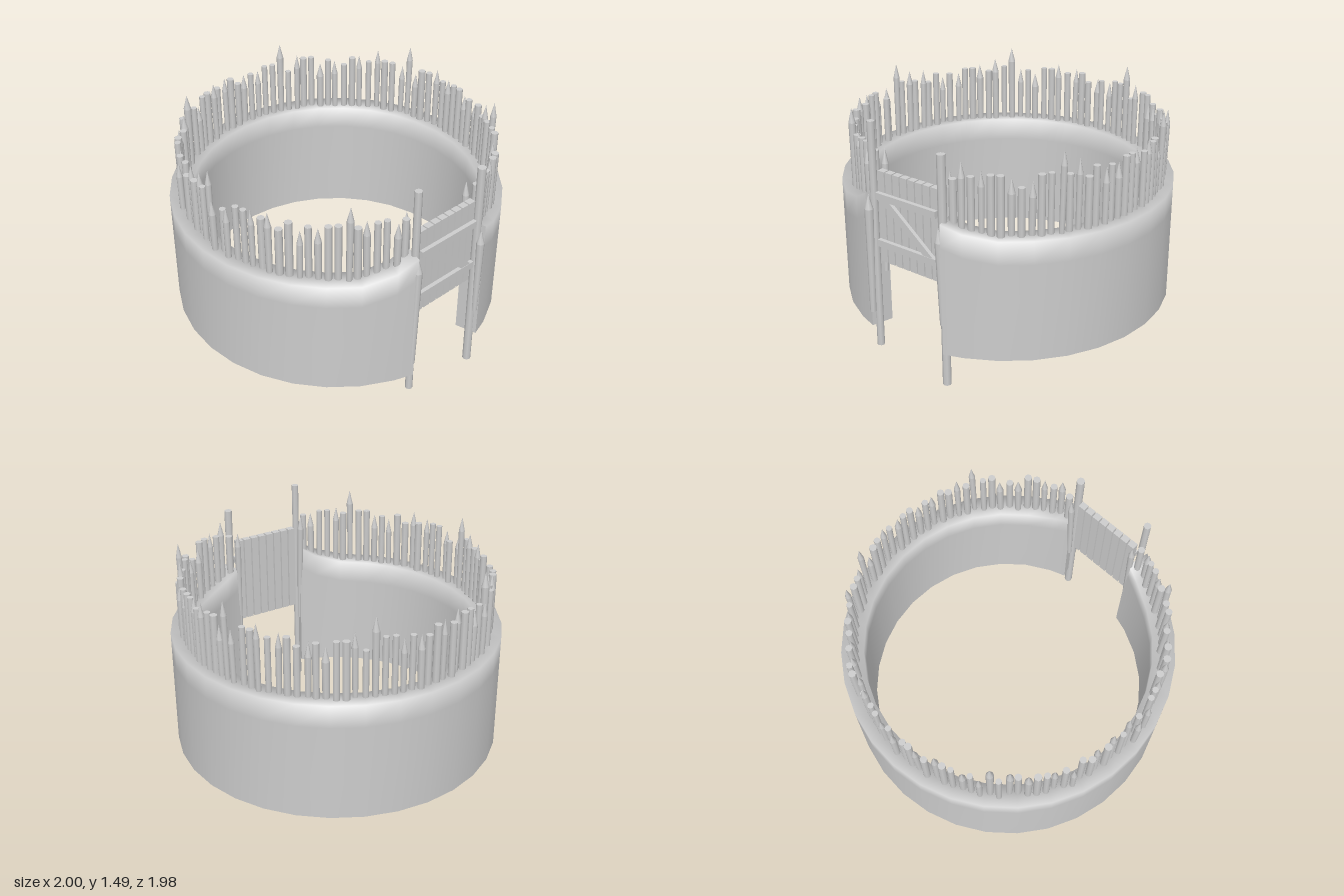
import * as THREE from 'three';

const grey = new THREE.MeshStandardMaterial({ color: 0xcccccc });
const greyBoth = new THREE.MeshStandardMaterial({ color: 0xcccccc, side: THREE.DoubleSide });
const CENTRE_Z = 0.01, GATE_ANGLE = 0.27, BASE = 0.22;

function seeded(seed) {
  return () => (seed = (seed * 16807) % 2147483647) / 2147483647;
}

function mesh(geometry, name, material = grey) {
  const m = new THREE.Mesh(geometry, material);
  m.name = name;
  return m;
}

// Point on the ring; angle 0 is the middle of the gate, positive towards +x
function ringPoint(angle, radius, y) {
  return new THREE.Vector3(Math.sin(angle) * radius, y, Math.cos(angle) * radius + CENTRE_Z);
}

// Wall top climbs towards the gate posts
function wallTop(angle) {
  const right = angle < Math.PI;
  const d = right ? angle : 2 * Math.PI - angle;
  const t = THREE.MathUtils.clamp((0.589 - d) / (0.589 - GATE_ANGLE), 0, 1);
  return 0.955 + (right ? 0.07 : 0.115) * Math.pow(t, 1.8);
}

function wallSection(angle) {
  const top = wallTop(angle);
  return [[1, BASE], [1, top - 0.14], [1, top], [0.865, top], [0.865, top - 0.14], [0.865, BASE]]
    .map(([r, y]) => ringPoint(angle, r, y));
}

// Hollow ring wall, open underneath, with closed ends at the gate
function buildWall() {
  const angles = [GATE_ANGLE];
  for (let k = 2; k <= 30; k++) angles.push((k * Math.PI) / 16);
  angles.push(2 * Math.PI - GATE_ANGLE);
  const pos = [], index = [];
  angles.forEach((a) => wallSection(a).forEach((p) => pos.push(p.x, p.y, p.z)));
  for (let i = 0; i < angles.length - 1; i++) {
    for (let j = 0; j < 5; j++) {
      const a = i * 6 + j, b = a + 6;
      index.push(a, b, b + 1, a, b + 1, a + 1);
    }
  }
  [angles[0], angles[angles.length - 1]].forEach((angle, end) => {
    const s = pos.length / 3;
    wallSection(angle).forEach((p) => pos.push(p.x, p.y, p.z));
    for (const [a, b, c] of [[0, 1, 5], [1, 4, 5], [1, 2, 4], [2, 3, 4]]) {
      if (end) index.push(s + a, s + c, s + b);
      else index.push(s + a, s + b, s + c);
    }
  });
  const g = new THREE.BufferGeometry();
  g.setAttribute('position', new THREE.Float32BufferAttribute(pos, 3));
  g.setIndex(index);
  g.computeVertexNormals();
  return mesh(g, 'ringWall', greyBoth);
}

// Flat-topped log or sharpened stake running between two points
function buildLog(from, to, radius, pointed, name) {
  const dir = to.clone().sub(from);
  const len = dir.length();
  const group = new THREE.Group();
  group.name = name;
  const tip = pointed ? 0.09 : 0;
  const shaft = mesh(new THREE.CylinderGeometry(radius, radius * (pointed ? 0.7 : 1), len - tip, 8), 'shaft');
  shaft.position.y = (len - tip) / 2;
  group.add(shaft);
  if (pointed) {
    const cone = mesh(new THREE.ConeGeometry(radius, tip, 8), 'point');
    cone.position.y = len - tip / 2;
    group.add(cone);
  }
  group.position.copy(from);
  group.quaternion.setFromUnitVectors(new THREE.Vector3(0, 1, 0), dir.normalize());
  return group;
}

// Palisade of mixed logs and stakes set in the wall
function buildPalisade() {
  const group = new THREE.Group();
  group.name = 'palisade';
  const rand = seeded(4127);
  const flat = [1.31, 1.35, 1.29, 1.35, 1.31];
  const sharp = [1.29, 1.37, 1.27, 1.33, 1.29, 1.35];
  const count = 98;
  for (let i = 0; i < count; i++) {
    const angle = 0.31 + ((2 * Math.PI - 0.62) * i) / (count - 1);
    const pointed = i % 5 === 1 || i % 5 === 3;
    const tall = i % 16 === 11;
    const top = tall ? 1.44 : pointed ? sharp[i % 6] : flat[i % 5] - (i % 7 === 0 ? 0.05 : 0);
    const r = 0.918 + (rand() - 0.5) * 0.03;
    const lean = pointed || tall ? 0.025 : 0.004;
    const foot = ringPoint(angle, r, top - 0.78);
    const head = ringPoint(angle + (rand() - 0.5) * lean, r + (rand() - 0.3) * lean, top);
    group.add(buildLog(foot, head, 0.018 + rand() * 0.005, pointed || tall, 'stake'));
  }
  return group;
}

// Gate posts with leaning stakes in front and behind
function buildGatePosts() {
  const group = new THREE.Group();
  group.name = 'gatePosts';
  const v = (x, y, z) => new THREE.Vector3(x, y, z);
  group.add(
    buildLog(v(-0.25, 0.08, 0.93), v(-0.247, 1.485, 0.925), 0.022, false, 'rightPost'),
    buildLog(v(0.255, 0, 0.93), v(0.247, 1.41, 0.925), 0.025, false, 'leftPost'),
    buildLog(v(-0.27, 0.31, 0.96), v(-0.257, 1.06, 0.962), 0.026, true, 'rightFrontStake'),
    buildLog(v(0.257, 0.4, 0.955), v(0.247, 1.0, 0.962), 0.024, true, 'leftFrontStake'),
    buildLog(v(-0.235, 0.55, 0.87), v(-0.235, 1.3, 0.835), 0.02, true, 'rightRearStake'),
    buildLog(v(0.225, 0.59, 0.86), v(0.232, 1.28, 0.835), 0.02, true, 'leftRearStake'),
  );
  return group;
}

// Plank gate with two rails and a diagonal brace
function buildGate() {
  const group = new THREE.Group();
  group.name = 'gate';
  for (let i = 0; i < 8; i++) {
    const board = mesh(new THREE.BoxGeometry(0.046, 0.56, 0.04), 'board');
    board.position.set((i - 3.5) * 0.0545, 0.92, 0.905);
    group.add(board);
  }
  for (const y of [0.765, 1.055]) {
    const rail = mesh(new THREE.BoxGeometry(0.43, 0.042, 0.025), 'rail');
    rail.position.set(0, y, 0.937);
    group.add(rail);
  }
  const brace = new THREE.Shape([[-0.19, 1.036], [-0.12, 1.036], [0.19, 0.786], [0.12, 0.786]]
    .map(([x, y]) => new THREE.Vector2(x, y)));
  const diagonal = mesh(new THREE.ExtrudeGeometry(brace, { depth: 0.022, bevelEnabled: false }), 'brace');
  diagonal.position.z = 0.925;
  group.add(diagonal);
  return group;
}

export function createModel() {
  const model = new THREE.Group();
  model.name = 'palisadeFort';
  model.add(buildWall(), buildPalisade(), buildGatePosts(), buildGate());
  return model;
}
